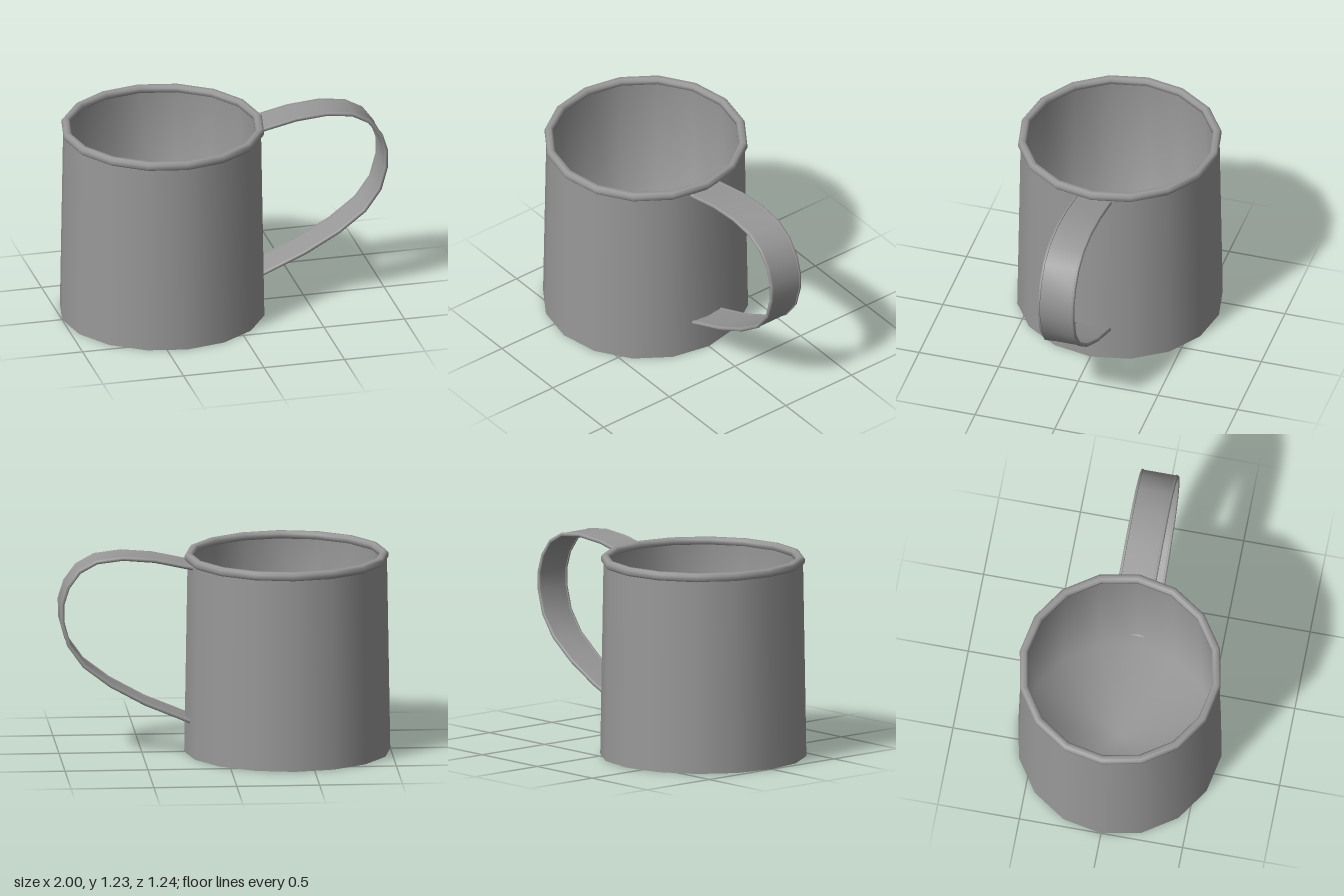
import * as THREE from 'three';
import { toCreasedNormals } from 'three/addons/utils/BufferGeometryUtils.js';

const SIDES = 16;
const CUP_X = -0.378;

export function createModel() {
  const model = new THREE.Group();
  const material = new THREE.MeshStandardMaterial({ color: 0x989898 });

  const add = (parent, name, geometry) => {
    const mesh = new THREE.Mesh(geometry, material);
    mesh.name = name;
    parent.add(mesh);
    return mesh;
  };
  const lathe = (points) =>
    new THREE.LatheGeometry(points.map(([r, y]) => new THREE.Vector2(r, y)), SIDES);

  // Cup: slightly tapered wall, flat base, lining and rolled rim
  const cup = new THREE.Group();
  cup.name = 'cup';
  cup.position.x = CUP_X;
  model.add(cup);
  add(cup, 'outerWall', lathe([[0.622, 0], [0.602, 1.18]]));
  add(cup, 'base', lathe([[0, 0], [0.622, 0]]));
  add(cup, 'lining', lathe([[0.575, 1.19], [0.598, 0.025], [0, 0.025]]));
  add(cup, 'rim', lathe([
    [0.585, 1.17], [0.604, 1.171], [0.615, 1.184], [0.615, 1.207],
    [0.603, 1.222], [0.578, 1.222], [0.564, 1.208], [0.564, 1.185],
    [0.585, 1.17],
  ])).position.x = 0.004;

  // Handle: a flat strap with beaded edges, swept along a bent path
  const path = [
    [0.2, 1.152], [0.43, 1.202], [0.62, 1.218], [0.78, 1.198], [0.885, 1.14],
    [0.955, 1.045], [0.988, 0.94], [0.987, 0.83], [0.948, 0.69], [0.855, 0.56],
    [0.695, 0.438], [0.485, 0.322], [0.21, 0.207],
  ].map(([x, y]) => new THREE.Vector2(x, y));
  const half = [
    [0.098, 0.008], [0.1, 0.012], [0.106, 0.0125], [0.111, 0.01], [0.1145, 0.005],
  ];
  const section = [
    ...half,
    ...[...half].reverse().map(([z, t]) => [z, -t]),
    ...half.map(([z, t]) => [-z, -t]),
    ...[...half].reverse().map(([z, t]) => [-z, t]),
  ];
  add(model, 'handle', sweepStrap(path, section)).position.z = -0.006;

  return model;
}

// Sweeps a closed (z, thickness) section along a path in the xy plane
function sweepStrap(path, section) {
  const positions = [];
  const indices = [];
  const n = section.length;
  path.forEach((p, i) => {
    const before = path[Math.max(i - 1, 0)];
    const after = path[Math.min(i + 1, path.length - 1)];
    const dir = after.clone().sub(before).normalize();
    for (const [z, t] of section) positions.push(p.x - dir.y * t, p.y + dir.x * t, z);
    if (i === 0) return;
    for (let j = 0; j < n; j++) {
      const k = (j + 1) % n;
      const a = (i - 1) * n + j, b = (i - 1) * n + k;
      const c = i * n + j, d = i * n + k;
      indices.push(a, b, c, b, d, c);
    }
  });
  // End caps
  const last = (path.length - 1) * n;
  for (let j = 1; j < n - 1; j++) {
    indices.push(0, j + 1, j, last, last + j, last + j + 1);
  }
  const geometry = new THREE.BufferGeometry();
  geometry.setAttribute('position', new THREE.Float32BufferAttribute(positions, 3));
  geometry.setIndex(indices);
  // Smooth along the bends, crisp between the strap and its beads
  return toCreasedNormals(geometry, 0.66);
}
